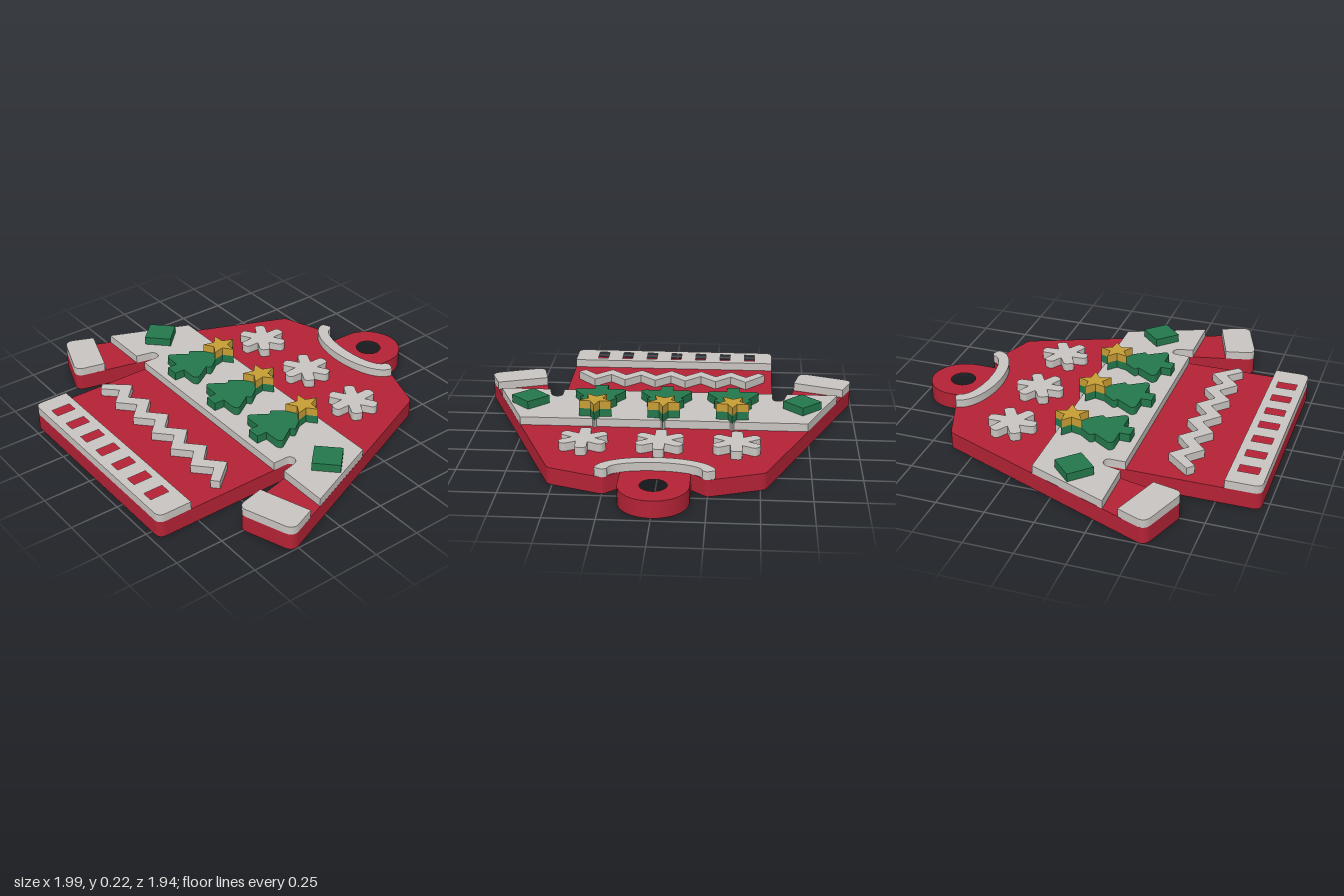
import * as THREE from 'three';
import { toCreasedNormals } from 'three/addons/utils/BufferGeometryUtils.js';

const mat = (name, color) => new THREE.MeshStandardMaterial({ name, color });

// Layer heights of the stacked plates
const LAYER = [0, 0.087, 0.13, 0.173, 0.216];

// Outline from [x, z, cornerRadius?] points; the first point stays sharp
function outline(points, Type = THREE.Shape) {
  const path = new Type();
  const n = points.length;
  const v = points.map(([x, z]) => new THREE.Vector2(x, -z));
  points.forEach(([, , r], i) => {
    if (i === 0) path.moveTo(v[0].x, v[0].y);
    else if (!r) path.lineTo(v[i].x, v[i].y);
    else {
      const a = v[i - 1].clone().sub(v[i]).setLength(r).add(v[i]);
      const b = v[(i + 1) % n].clone().sub(v[i]).setLength(r).add(v[i]);
      path.lineTo(a.x, a.y);
      path.quadraticCurveTo(v[i].x, v[i].y, b.x, b.y);
    }
  });
  path.closePath();
  return path;
}

// Flat plate filling one layer
function plate(name, points, layer, material, holes = []) {
  const shape = outline(points);
  shape.holes = holes.map((h) => outline(h, THREE.Path));
  let geo = new THREE.ExtrudeGeometry(shape, {
    depth: LAYER[layer + 1] - LAYER[layer], bevelEnabled: false, curveSegments: 8,
  });
  geo.rotateX(-Math.PI / 2);
  geo = toCreasedNormals(geo, 0.5);
  const mesh = new THREE.Mesh(geo, material);
  mesh.name = name;
  mesh.position.y = LAYER[layer];
  return mesh;
}

// Right half followed by its mirror image
const flip = (pts) => pts.map(([x, z, r]) => [-x, z, r]);
const mirror = (half) => [...half, ...flip(half).reverse().filter(([x]) => x !== 0)];

// Points along an elliptical arc
function arc(cx, cz, rx, rz, a0, a1, n) {
  return Array.from({ length: n + 1 }, (_, i) => {
    const a = a0 + ((a1 - a0) * i) / n;
    return [cx + rx * Math.cos(a), cz + rz * Math.sin(a)];
  });
}

function starPoints(R, r) {
  return Array.from({ length: 10 }, (_, i) => {
    const a = (i * Math.PI) / 5, d = i % 2 ? r : R;
    return [d * Math.sin(a), -d * Math.cos(a)];
  });
}

// Six arms with rounded tips
function snowflakePoints(length, w) {
  const pts = [];
  for (let i = 0; i < 6; i++) {
    const a = (i * Math.PI) / 3, c = Math.cos(a), s = Math.sin(a);
    const arm = [[-w, -w * 1.9], [-w, -length, w * 0.8], [w, -length, w * 0.8]];
    arm.forEach(([x, z, r]) => pts.push([x * c - z * s, x * s + z * c, r]));
  }
  return pts;
}

export function createModel() {
  const red = mat('red', 0xb32235);
  const white = mat('warm white', 0xc8c4c0);
  const green = mat('green', 0x23774b);
  const gold = mat('gold', 0xc79d35);
  const model = new THREE.Group();
  model.name = 'sweaterOrnament';
  const add = (mesh, x = 0, z = 0) => {
    mesh.position.x = x;
    mesh.position.z = z;
    model.add(mesh);
  };
  const columns = [-0.354, 0, 0.354];

  // Sweater body with sleeves and hanging loop
  const body = mirror([
    ...arc(0, -0.803, 0.17, 0.17, -Math.PI / 2, 0, 16).map(([x, z], i) => [i ? x : 0, z]),
    [0.17, -0.665], [0.2, -0.69], [0.247, -0.733, 0.02], [0.525, -0.634, 0.02],
    [1.008, 0.535, 0.05], [0.722, 0.637, 0.05],
    [0.62, 0.2, 0.03], [0.565, 0.2, 0.03], [0.565, 0.968, 0.04],
  ]);
  add(plate('sweaterBody', body, 0, red,
    [arc(0, -0.803, 0.066, 0.066, 0, Math.PI * 2, 32).slice(0, -1)]));

  // Collar
  const collar = [
    ...arc(0, -0.715, 0.287, 0.135, 0, Math.PI, 28),
    [-0.247, -0.735, 0.015],
    ...arc(0, -0.72, 0.225, 0.079, Math.PI, 0, 28),
    [0.247, -0.735, 0.015],
  ];
  add(plate('collar', collar, 1, white));

  // Chest band, with small points backing the star tips
  const tips = columns.flatMap((x) => [[x - 0.011, -0.11], [x, -0.136], [x + 0.011, -0.11]]);
  const bandHalf = [
    [0.741, -0.11], [0.911, 0.302], [0.643, 0.302],
    [0.62, 0.2, 0.03], [0.565, 0.2, 0.03], [0.565, 0.302],
  ];
  add(plate('chestBand', [...mirror(bandHalf), ...tips], 1, white));

  // Sleeve cuffs and side diamonds
  const cuff = [[0.947, 0.388], [1.008, 0.535, 0.05], [0.722, 0.637, 0.05], [0.685, 0.478]];
  add(plate('leftCuff', cuff, 1, white));
  add(plate('rightCuff', flip(cuff), 1, white));
  const diamond = [[0, -0.1], [0.1, 0], [0, 0.1], [-0.1, 0]];
  add(plate('leftDiamond', diamond, 2, green), 0.717, 0.096);
  add(plate('rightDiamond', diamond, 2, green), -0.717, 0.096);

  // Hem with a row of windows
  const windows = Array.from({ length: 7 }, (_, i) => {
    const x = -0.438 + i * 0.1415, w = 0.029;
    return [[x - w, 0.826], [x + w, 0.826], [x + w, 0.928], [x - w, 0.928]];
  });
  const hem = [[-0.565, 0.788], [0.565, 0.788], [0.565, 0.968, 0.04], [-0.565, 0.968, 0.04]];
  add(plate('hem', hem, 1, white, windows));

  // Zigzag stripe
  const zig = Array.from({ length: 11 }, (_, i) => [-0.419 + i * 0.0838, i % 2 ? 0.592 : 0.513]);
  const shift = (d) => zig.map(([x, z]) => [x, z + d]);
  const zigzag = [
    [-0.523, 0.592], ...shift(-0.04), [0.523, 0.592], [0.488, 0.624],
    ...shift(0.04).reverse(), [-0.488, 0.624],
  ];
  add(plate('zigzagStripe', zigzag, 1, white));

  // Snowflakes
  for (const x of [-0.382, 0, 0.382]) {
    add(plate('snowflake', snowflakePoints(0.128, 0.028), 1, white), x, -0.358);
  }

  // Trees, each topped with a star on a matching green backing
  const tree = mirror([
    [0, -0.05], [0.045, 0.01], [0.102, 0.085, 0.012], [0.08, 0.101],
    [0.143, 0.198, 0.022], [0.115, 0.212], [0.035, 0.212], [0.035, 0.268],
  ]);
  const star = starPoints(0.088, 0.039);
  for (const x of columns) {
    add(plate('tree', tree, 2, green), x);
    add(plate('starBacking', star, 2, green), x, -0.048);
    add(plate('star', star, 3, gold), x, -0.048);
  }

  return model;
}
